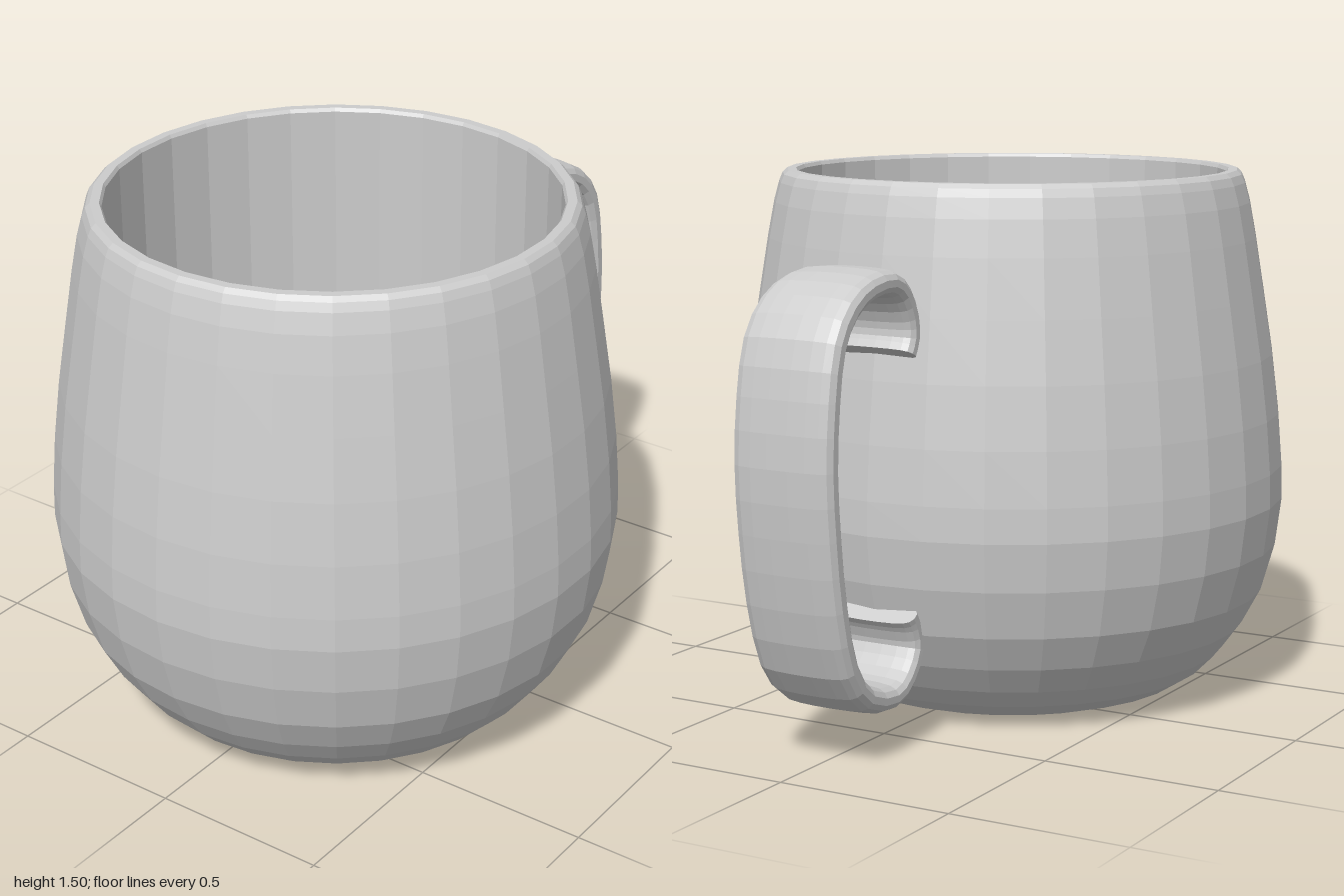
import * as THREE from 'three';

const V = (x, y) => new THREE.Vector2(x, y);
const CENTRE_X = -0.21;
const SIDES = 30;

// Cup: one closed profile, up the outside, over the rim and down the inside
function makeCup(material) {
  const outside = [
    [0, 0], [0.44, 0], [0.508, 0.022], [0.571, 0.062], [0.626, 0.118], [0.682, 0.195],
    [0.735, 0.295], [0.773, 0.43], [0.79, 0.565], [0.788, 0.66], [0.776, 0.81],
    [0.755, 0.98], [0.728, 1.15], [0.702, 1.31], [0.683, 1.41], [0.668, 1.465],
    [0.658, 1.488], [0.645, 1.5], [0.62, 1.5], [0.614, 1.49],
  ];
  const points = outside.map(([r, y]) => V(r, y));

  // straight inner wall running into a rounded bowl
  const bowlRadius = 0.612, bowlDepth = 0.6, bowlTop = 0.7;
  const rings = 7;
  for (let i = rings; i >= 0; i--) {
    const a = (i / rings) * Math.PI / 2;
    points.push(V(bowlRadius * Math.sin(a), bowlTop - bowlDepth * Math.cos(a)));
  }

  const geometry = new THREE.LatheGeometry(points, SIDES);
  geometry.rotateY(Math.PI / 2);
  const cup = new THREE.Mesh(geometry, material);
  cup.position.x = CENTRE_X;
  cup.name = 'cup';
  return cup;
}

// Handle: a domed strap swept along a smooth curve with curled ends
function makeHandle(material) {
  const curve = new THREE.SplineCurve([
    [0.548, 1.06], [0.528, 1.1], [0.532, 1.155], [0.57, 1.22], [0.634, 1.257],
    [0.746, 1.251], [0.842, 1.209], [0.912, 1.123], [0.944, 0.984], [0.957, 0.813],
    [0.945, 0.636], [0.917, 0.449], [0.864, 0.278], [0.773, 0.182], [0.639, 0.152],
    [0.559, 0.187], [0.511, 0.257], [0.525, 0.32], [0.548, 0.355],
  ].map(([x, y]) => V(x, y)));
  const last = 36;
  const path = curve.getPoints(last);

  // strap section: [thickness, width] fractions, from the outer face round to +z
  const quarter = [[1, 0.2], [0.95, 0.55], [0.84, 0.8], [0.62, 0.93], [0.25, 1]];
  const half = [...quarter, ...quarter.map(([a, b]) => [-a, b]).reverse()];
  const section = [...half, ...half.map(([a, b]) => [a, -b]).reverse()];

  const n = section.length;
  const positions = [];
  const index = [];
  path.forEach((p, i) => {
    const t = curve.getTangent(i / last);
    const reach = THREE.MathUtils.clamp((p.x - 0.51) / 0.44, 0, 1);
    const thick = 0.036 + 0.007 * reach;
    const wide = 0.13 + 0.02 * reach;
    for (const [a, b] of section) {
      positions.push(p.x - t.y * thick * a, p.y + t.x * thick * a, wide * b);
    }
  });
  for (let i = 0; i < last; i++) {
    for (let j = 0; j < n; j++) {
      const k = (j + 1) % n;
      const a = i * n + j, b = i * n + k, c = b + n, d = a + n;
      index.push(a, b, c, a, c, d);
    }
  }
  // end caps
  const e = last * n;
  for (let j = 1; j < n - 1; j++) {
    index.push(0, j + 1, j, e, e + j, e + j + 1);
  }
  const geometry = new THREE.BufferGeometry();
  geometry.setAttribute('position', new THREE.Float32BufferAttribute(positions, 3));
  geometry.setIndex(index);
  geometry.computeVertexNormals();
  const handle = new THREE.Mesh(geometry, material);
  handle.name = 'handle';
  return handle;
}

export function createModel() {
  const ceramic = new THREE.MeshStandardMaterial({ color: 0xcccccc });
  ceramic.name = 'pale ceramic';
  ceramic.flatShading = true;

  const mug = new THREE.Group();
  mug.name = 'mug';
  mug.add(makeCup(ceramic), makeHandle(ceramic));
  return mug;
}
